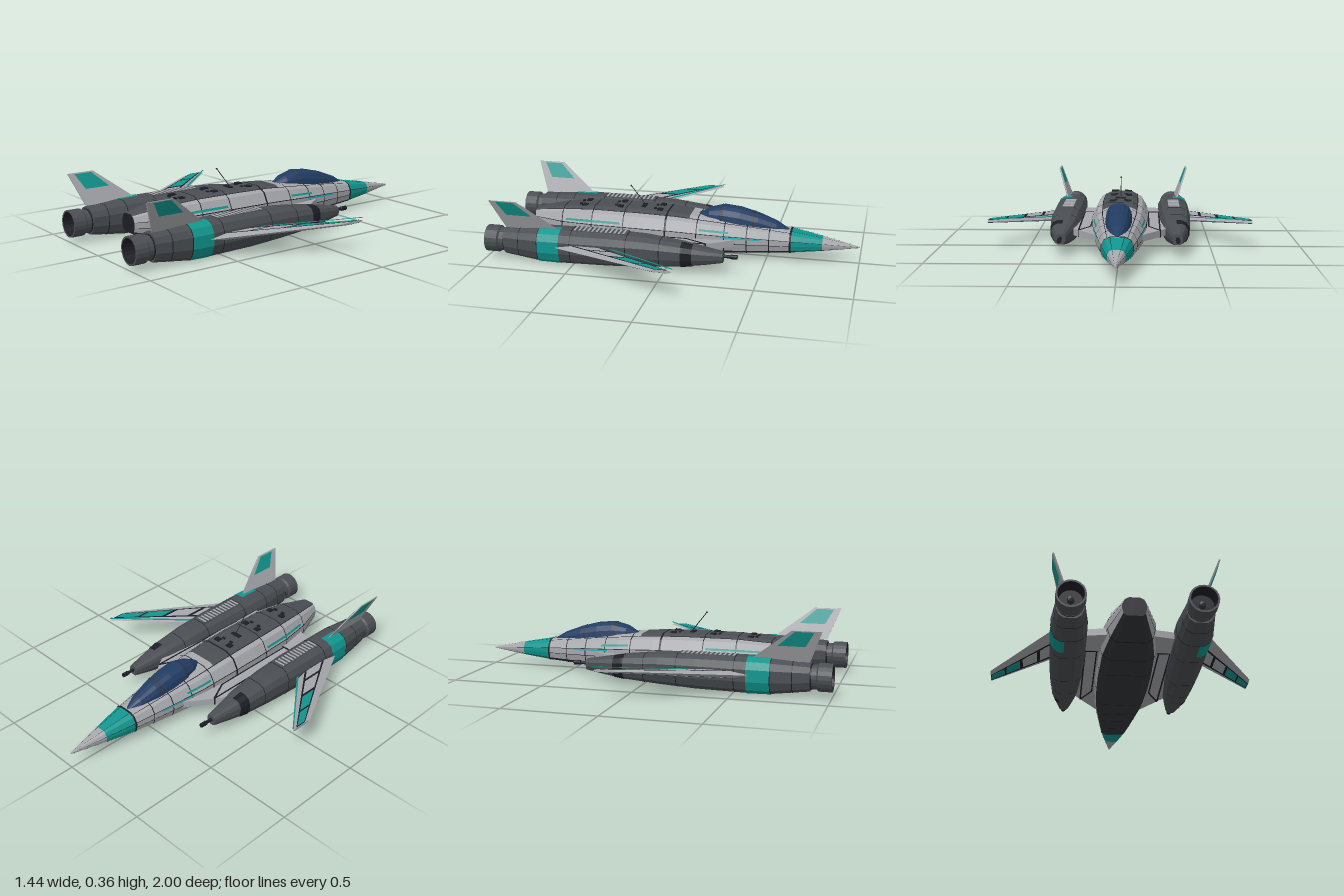
import * as THREE from 'three';

const mat = (name, color) => Object.assign(new THREE.MeshStandardMaterial({ color }), { name });
const M = {
  light: mat('lightGrey', 0xa6a7ab),
  gun: mat('gunmetal', 0x4a4e52),
  belly: mat('bellyGrey', 0x323539),
  black: mat('panelBlack', 0x1d1e26),
  teal: mat('teal', 0x10968e),
  cyan: mat('cyan', 0x25b4c4),
  glass: mat('canopyBlue', 0x213c62),
};

// Faceted geometry from a flat list of points, three per triangle
function facets(points) {
  const g = new THREE.BufferGeometry();
  g.setAttribute('position', new THREE.Float32BufferAttribute(points.flat(), 3));
  g.computeVertexNormals();
  return g;
}

// Mirror across x = 0, keeping faces outward
function mirrored(geo) {
  const g = geo.index ? geo.toNonIndexed() : geo;
  const p = g.attributes.position, out = [];
  for (let i = 0; i < p.count; i += 3)
    for (const k of [0, 2, 1]) out.push([-p.getX(i + k), p.getY(i + k), p.getZ(i + k)]);
  return facets(out);
}

// Solid between two matching loops of points
function prism(a, b) {
  const tris = [], n = a.length;
  for (let i = 0; i < n; i++) {
    const j = (i + 1) % n;
    tris.push([a[i], a[j], b[j]], [a[i], b[j], b[i]]);
    if (i > 0 && i < n - 1) tris.push([a[0], a[i + 1], a[i]], [b[0], b[i], b[i + 1]]);
  }
  const v = tris.reduce((s, t) => {
    const [p, q, r] = t.map((c) => new THREE.Vector3(...c));
    return s + p.dot(q.cross(r));
  }, 0);
  return facets((v < 0 ? tris.map(([p, q, r]) => [p, r, q]) : tris).flat());
}

// Body with stations [z, halfWidth, yBottom, yTop] and a half section [u, v] from bottom to top.
// patch() cuts out any z range and section range, optionally raised off the skin.
function shell(stations, half, cx = 0) {
  const n = half.length - 1;
  const sec = [...half, ...half.slice(1, n).reverse().map(([u, v]) => [-u, v])];
  const lerp = THREE.MathUtils.lerp;
  const point = (z, t, off) => {
    let i = 0;
    while (i < stations.length - 2 && z > stations[i + 1][0]) i++;
    const [s, e] = [stations[i], stations[i + 1]], f = (z - s[0]) / (e[0] - s[0]);
    const [hw, y0, y1] = [1, 2, 3].map((k) => lerp(s[k], e[k], f));
    const tt = ((t % (2 * n)) + 2 * n) % (2 * n), a = Math.floor(tt);
    const p = sec[a], q = sec[(a + 1) % (2 * n)];
    const x = lerp(p[0], q[0], tt - a) * hw, y = (lerp(p[1], q[1], tt - a) - 0.5) * (y1 - y0);
    const k = 1 + off / (Math.hypot(x, y) || 1);
    return [cx + x * k, (y0 + y1) / 2 + y * k, z];
  };
  const patch = (z0, z1, t0 = 0, t1 = 2 * n, off = 0) => {
    const zs = [z0, ...stations.map((s) => s[0]).filter((z) => z > z0 && z < z1), z1];
    const ts = [t0];
    for (let t = Math.floor(t0) + 1; t < t1; t++) ts.push(t);
    ts.push(t1);
    const out = [];
    for (let i = 0; i < zs.length - 1; i++)
      for (let j = 0; j < ts.length - 1; j++) {
        const a = point(zs[i], ts[j], off), b = point(zs[i], ts[j + 1], off);
        const c = point(zs[i + 1], ts[j], off), d = point(zs[i + 1], ts[j + 1], off);
        out.push(a, b, c, b, d, c);
      }
    return facets(out);
  };
  const cap = (z, facing) => {
    const out = [];
    for (let t = 1; t < 2 * n - 1; t++) {
      const [a, b, c] = [0, t, t + 1].map((k) => point(z, k, 0));
      out.push(...(facing > 0 ? [a, b, c] : [a, c, b]));
    }
    return facets(out);
  };
  return { patch, cap };
}

export function createModel() {
  const root = new THREE.Group();
  root.name = 'starfighter';
  const add = (name, geo, material) => {
    const m = new THREE.Mesh(geo, material);
    m.name = name;
    root.add(m);
  };
  const pair = (name, geo, material) => {
    add(name + 'Left', geo, material);
    add(name + 'Right', mirrored(geo), material);
  };
  const box = (w, h, d, x, y, z) => new THREE.BoxGeometry(w, h, d).translate(x, y, z);

  // Fuselage
  const hull = shell([
    [-1, 0.002, 0.088, 0.094], [-0.8, 0.045, 0.065, 0.135], [-0.63, 0.08, 0.05, 0.165],
    [-0.4, 0.115, 0.038, 0.195], [-0.2, 0.142, 0.03, 0.217], [0, 0.153, 0.025, 0.235],
    [0.2, 0.156, 0.022, 0.241], [0.46, 0.148, 0.022, 0.241], [0.64, 0.118, 0.035, 0.225],
    [0.82, 0.06, 0.09, 0.19],
  ], [[0, 0], [0.65, 0], [0.9, 0.13], [1, 0.38], [1, 0.62], [0.8, 0.88], [0.45, 1], [0, 1]]);
  add('noseTip', hull.patch(-1, -0.8), M.light);
  add('noseBand', hull.patch(-0.8, -0.63), M.teal);
  add('belly', hull.patch(-0.63, 0.82, -2, 2), M.belly);
  add('foreHull', hull.patch(-0.63, -0.08, 2, 12), M.light);
  pair('hullSide', hull.patch(-0.08, 0.82, 2, 5.5), M.light);
  add('deck', hull.patch(-0.08, 0.82, 5.5, 8.5), M.gun);
  add('tailCap', hull.cap(0.82, 1), M.black);
  for (const z of [-0.52, -0.4, -0.28, -0.13, 0.28, 0.46, 0.64])
    add('hullSeam', hull.patch(z, z + 0.005, 0, 14, 0.0015), M.black);
  add('noseSeam', hull.patch(-0.635, -0.625, 0, 14, 0.002), M.black);
  add('deckSeam', hull.patch(0.04, 0.05, 2, 12, 0.002), M.black);
  for (const t of [3, 4, 5.5]) pair('hullLine', hull.patch(-0.63, 0.81, t - 0.04, t + 0.04, 0.0015), M.black);
  for (const t of [2, 4, 6]) pair('noseLine', hull.patch(-0.99, -0.63, t - 0.04, t + 0.04, 0.0015), M.black);
  pair('sideStripe', hull.patch(-0.47, -0.26, 3.72, 3.95, 0.002), M.cyan);
  pair('shoulderStripe', hull.patch(-0.3, -0.14, 4.3, 4.5, 0.002), M.teal);
  pair('rearStripe', hull.patch(0.3, 0.62, 4.2, 4.4, 0.002), M.teal);

  // Deck fittings
  for (const [z, y] of [[0.095, 0.239], [0.32, 0.242], [0.525, 0.236]]) {
    pair('deckHatch', box(0.032, 0.012, 0.03, 0.045, y, z), M.black);
    pair('deckLatch', box(0.02, 0.01, 0.012, 0.028, y, z + 0.03), M.black);
  }
  add('deckPlate', box(0.06, 0.012, 0.022, 0, 0.241, 0.195), M.black);
  const mast = new THREE.CylinderGeometry(0.0022, 0.0022, 0.148, 6);
  add('antenna', mast.rotateX(0.663).translate(0, 0.295, 0.225), M.black);
  add('antennaTip', new THREE.SphereGeometry(0.005, 8, 6).translate(0, 0.352, 0.27), M.black);

  // Canopy
  const canopy = shell([
    [-0.62, 0.012, 0.14, 0.166], [-0.55, 0.044, 0.14, 0.207], [-0.45, 0.062, 0.15, 0.245],
    [-0.35, 0.07, 0.16, 0.271], [-0.26, 0.07, 0.17, 0.28], [-0.18, 0.056, 0.19, 0.259],
    [-0.12, 0.022, 0.2, 0.226],
  ], [[0, 0], [0.9, 0], [1, 0.3], [0.93, 0.6], [0.7, 0.85], [0.38, 0.97], [0, 1]]);
  add('canopy', canopy.patch(-0.62, -0.12), M.glass);
  add('canopyFront', canopy.cap(-0.62, -1), M.glass);
  add('canopyBack', canopy.cap(-0.12, 1), M.glass);
  for (const z of [-0.43, -0.25]) add('canopyFrame', canopy.patch(z, z + 0.01, 1, 11, 0.002), M.belly);

  // Engine nacelles
  const cx = 0.31, cy = 0.098;
  const pod = shell([
    [-0.31, 0.028, 0.065, 0.122], [-0.22, 0.046, 0.05, 0.137], [-0.1, 0.068, 0.033, 0.158],
    [0.1, 0.083, 0.018, 0.18], [0.3, 0.09, 0.007, 0.187], [0.57, 0.091, 0.002, 0.187],
    [0.69, 0.09, 0.004, 0.185], [0.89, 0.068, 0.028, 0.17],
  ], [[0, 0], [0.45, 0], [0.8, 0.12], [1, 0.36], [1, 0.7], [0.8, 0.9], [0.42, 1], [0, 1]], cx);
  pair('nacelle', pod.patch(-0.31, 0.89), M.gun);
  pair('nacelleNose', pod.cap(-0.31, -1), M.gun);
  pair('nacelleTail', pod.cap(0.89, 1), M.gun);
  pair('nacelleTealBand', pod.patch(0.57, 0.69, 0.5, 7, 0.002), M.teal);
  pair('nacelleDarkBand', pod.patch(-0.15, -0.09, 1, 7, 0.002), M.black);
  for (const z of [0.02, 0.2, 0.505, 0.69, 0.8])
    pair('nacelleSeam', pod.patch(z, z + 0.004, 0, 14, 0.0015), M.black);
  pair('ventBed', box(0.075, 0.006, 0.3, 0.306, 0.185, 0.355), M.gun);
  for (let i = 0; i < 12; i++)
    pair('ventSlat', box(0.064, 0.006, 0.011, 0.306, 0.187, 0.225 + i * 0.0245), M.light);

  // Exhaust nozzles and guns, turned about the nacelle axis
  const turned = (pts) => new THREE.LatheGeometry(pts.map((p) => new THREE.Vector2(...p)), 20)
    .rotateX(Math.PI / 2).translate(cx, cy, 0).toNonIndexed();
  const flat = (g) => (g.computeVertexNormals(), g);
  pair('nozzle', flat(turned([[0.063, 0.88], [0.063, 0.922], [0.073, 0.93], [0.073, 1], [0.064, 1]])), M.gun);
  pair('nozzleBore', flat(turned([[0.064, 1], [0.058, 0.925], [0, 0.925]])), M.black);
  pair('nozzleCone', flat(turned([[0.018, 0.925], [0.014, 0.95], [0, 0.955]])), M.belly);
  pair('nozzleRing', flat(turned([[0.066, 0.888], [0.066, 0.896], [0.06, 0.896]])), M.black);
  pair('gun', flat(turned([[0, -0.385], [0.012, -0.385], [0.012, -0.35], [0.008, -0.345], [0.01, -0.3]])), M.black);

  // Inner wings
  const plan = [[0.1, -0.37], [0.217, -0.2], [0.25, -0.15], [0.25, 0.59], [0.1, 0.62]];
  const level = (pts, y0, y1) => prism(pts.map(([x, z]) => [x, y0, z]), pts.map(([x, z]) => [x, y1, z]));
  pair('innerWing', level(plan, 0.087, 0.123), M.light);
  for (const line of [
    [[0.156, -0.08], [0.163, -0.08], [0.163, 0.43], [0.156, 0.43]],
    [[0.15, 0.42], [0.24, 0.42], [0.24, 0.43], [0.15, 0.43]],
    [[0.156, -0.08], [0.215, -0.2], [0.223, -0.195], [0.163, -0.075]],
    [[0.215, -0.2], [0.223, -0.195], [0.223, 0.43], [0.215, 0.43]],
  ]) pair('innerWingLine', level(line, 0.085, 0.125), M.black);

  // Forward-swept outer wings: x across, f along the chord from leading to trailing edge
  const wing = (x, f, side = 0, off = 0) => {
    const s = (x - 0.38) / 0.34;
    const lead = 0.295 - 0.425 * s, trail = 0.635 - 0.635 * s;
    const thick = 0.018 - 0.011 * s;
    return [x, 0.1 + 0.053 * s + side * (thick + off), lead + (trail - lead) * f];
  };
  const section = (x) => [[0, 0], [0.17, 1], [0.7, 1], [1, 0], [0.7, -1], [0.17, -1]].map(([f, s]) => wing(x, f, s));
  pair('wing', prism(section(0.38), section(0.72)), M.light);
  const inlay = (name, x0, x1, f0, f1, height, material) => {
    for (const side of [1, -1]) {
      const quad = (off) => [[x0, f0], [x1, f0], [x1, f1], [x0, f1]].map(([x, f]) => wing(x, f, side, off));
      pair(name, prism(quad(-0.001), quad(height)), material);
    }
  };
  inlay('wingFrame', 0.395, 0.718, 0.18, 0.69, 0.001, M.black);
  inlay('wingPanelTip', 0.64, 0.713, 0.24, 0.63, 0.002, M.teal);
  inlay('wingPanelOuter', 0.555, 0.63, 0.24, 0.63, 0.002, M.teal);
  inlay('wingPanelMiddle', 0.465, 0.54, 0.24, 0.63, 0.002, M.light);
  inlay('wingPanelRoot', 0.395, 0.45, 0.24, 0.63, 0.002, M.light);
  const strip = (y) => [[0.4, 0], [0.718, 0], [0.718, 0.07], [0.4, 0.05]].map(([x, f]) => {
    const p = wing(x, f);
    return [p[0], p[1] + y, p[2] - 0.006];
  });
  pair('wingLeadingStrip', prism(strip(0.015), strip(0.018)), M.teal);

  // Canted tail fins: position by length z and height y, leaning outward
  const fin = (pts, half) => {
    const at = (d) => pts.map(([z, y]) => [0.332 + (y - 0.18) * 0.41 + d, y, z]);
    return prism(at(-half), at(half));
  };
  pair('fin', fin([[0.58, 0.175], [0.635, 0.2], [0.8, 0.343], [0.95, 0.343], [0.885, 0.175]], 0.004), M.light);
  pair('finPanel', fin([[0.725, 0.258], [0.815, 0.338], [0.912, 0.338], [0.865, 0.258]], 0.0049), M.teal);

  return root;
}
